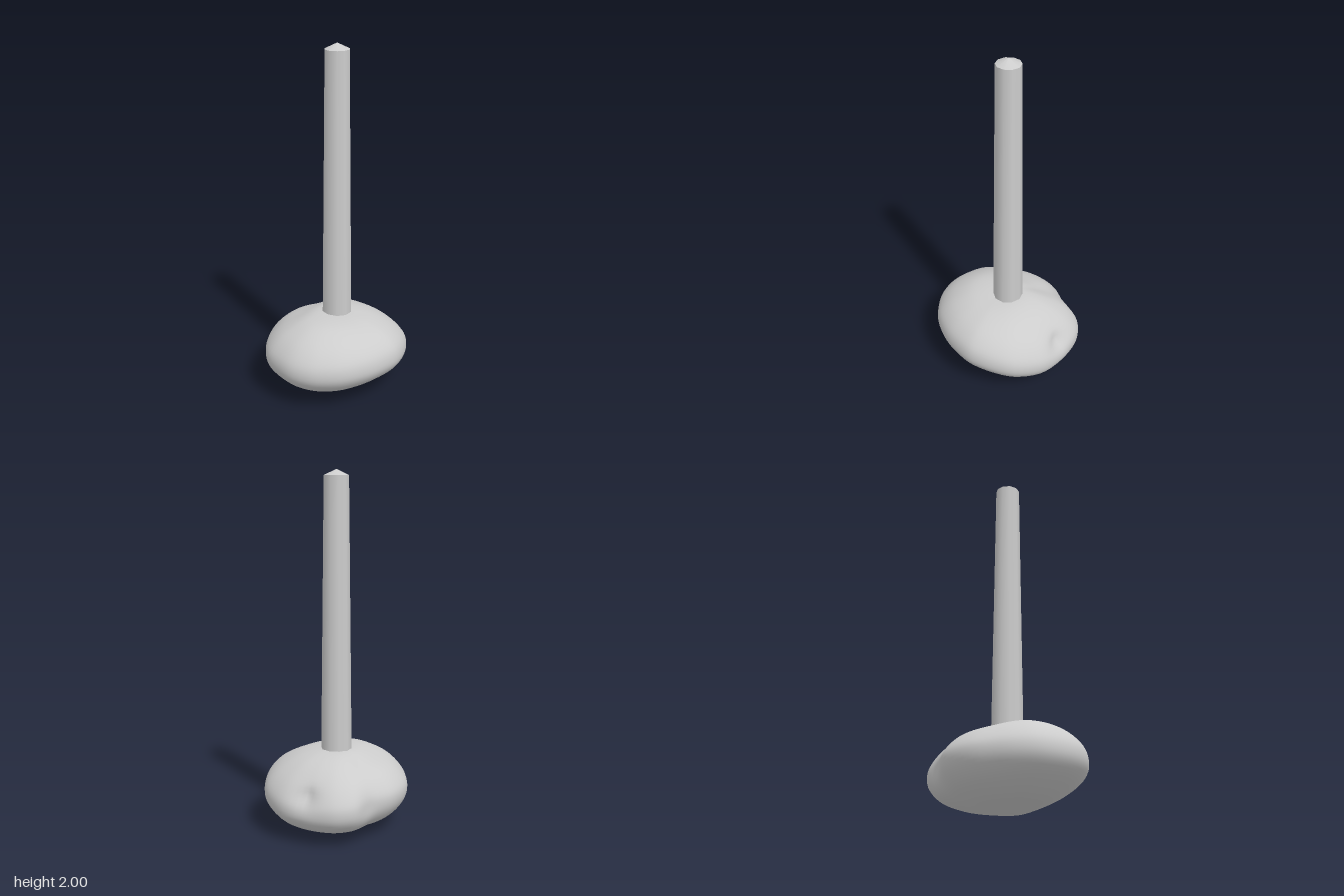
import * as THREE from 'three';
import { mergeVertices } from 'three/addons/utils/BufferGeometryUtils.js';

const stone = new THREE.MeshStandardMaterial({ color: 0xcccccc });
stone.name = 'pale grey';

// Plan outline of the boulder, as x, z
const outline = new THREE.CatmullRomCurve3([
  [0.43, 0], [0.415, 0.12], [0.38, 0.2], [0.3, 0.3], [0.2, 0.36], [0.1, 0.393], [0.03, 0.4],
  [-0.1, 0.375], [-0.19, 0.34], [-0.3, 0.27], [-0.37, 0.19], [-0.415, 0.11], [-0.435, 0],
  [-0.41, -0.12], [-0.37, -0.21], [-0.29, -0.29], [-0.2, -0.345], [-0.1, -0.388], [0, -0.4],
  [0.1, -0.385], [0.2, -0.335], [0.28, -0.31], [0.34, -0.28], [0.385, -0.23], [0.415, -0.17], [0.43, -0.07],
].map(([x, z]) => new THREE.Vector3(x, 0, z)), true);

// Side profiles, bottom to top, as share of the plan radius and height
const profile = (pts) => new THREE.SplineCurve(pts.map(([r, y]) => new THREE.Vector2(r, y)));
const sides = {
  right: profile([[0, 0.005], [0.22, 0.015], [0.47, 0.035], [0.81, 0.075], [0.97, 0.135], [1, 0.2],
    [0.95, 0.26], [0.81, 0.335], [0.58, 0.41], [0.3, 0.452], [0, 0.455]]),
  left: profile([[0, 0.005], [0.24, 0.018], [0.53, 0.05], [0.8, 0.115], [0.95, 0.175], [1, 0.235],
    [0.96, 0.305], [0.8, 0.38], [0.55, 0.437], [0.3, 0.455], [0, 0.455]]),
  front: profile([[0, 0.005], [0.25, 0.018], [0.6, 0.08], [0.83, 0.14], [0.96, 0.195], [1, 0.25],
    [0.95, 0.32], [0.78, 0.385], [0.53, 0.43], [0.28, 0.45], [0, 0.455]]),
  back: profile([[0, 0.005], [0.25, 0.02], [0.5, 0.036], [0.79, 0.095], [0.95, 0.165], [1, 0.235],
    [0.95, 0.295], [0.77, 0.365], [0.5, 0.415], [0.26, 0.452], [0, 0.455]]),
};

// Dents: centre, radius, depth
const dents = [
  { at: new THREE.Vector3(0.4, 0.27, -0.01), size: 0.06, depth: 0.035 },
  { at: new THREE.Vector3(0.26, 0.22, -0.31), size: 0.07, depth: 0.02 },
];

function boulderGeometry(rows = 40, cols = 80) {
  const positions = [], index = [];
  const rim = outline.getPoints(cols);
  for (let i = 0; i <= rows; i++) {
    for (let j = 0; j < cols; j++) {
      const o = rim[j], len = o.length();
      const c = o.x / len, s = o.z / len;
      const a = (c > 0 ? sides.right : sides.left).getPoint(i / rows);
      const b = (s > 0 ? sides.front : sides.back).getPoint(i / rows);
      const q = a.lerp(b, s * s);
      const p = new THREE.Vector3(o.x * q.x, q.y, o.z * q.x);
      for (const d of dents) {
        const k = d.depth * Math.exp(-p.distanceToSquared(d.at) / (d.size * d.size));
        p.x -= c * k;
        p.z -= s * k;
      }
      positions.push(p.x, p.y, p.z);
      if (i < rows) {
        const n = (j + 1) % cols, lo = i * cols, hi = lo + cols;
        index.push(lo + j, hi + j, lo + n, hi + j, hi + n, lo + n);
      }
    }
  }
  const geo = new THREE.BufferGeometry();
  geo.setAttribute('position', new THREE.Float32BufferAttribute(positions, 3));
  geo.setIndex(index);
  const merged = mergeVertices(geo, 1e-5);
  merged.computeVertexNormals();
  return merged;
}

export function createModel() {
  const group = new THREE.Group();
  const add = (name, geometry, x = 0, y = 0, z = 0) => {
    const mesh = new THREE.Mesh(geometry, stone);
    mesh.name = name;
    mesh.position.set(x, y, z);
    group.add(mesh);
  };

  // Stone base
  add('boulder', boulderGeometry());

  // Tapered ten-sided post with a shallow pointed top
  const px = 0.021, pz = -0.004, turn = Math.PI / 2;
  const bottom = 0.43, top = 1.967;
  add('post', new THREE.CylinderGeometry(0.069, 0.087, top - bottom, 10, 1, true, turn), px, (top + bottom) / 2, pz);
  add('postTip', new THREE.ConeGeometry(0.069, 2 - top, 10, 1, true, turn), px, (top + 2) / 2, pz);
  return group;
}
